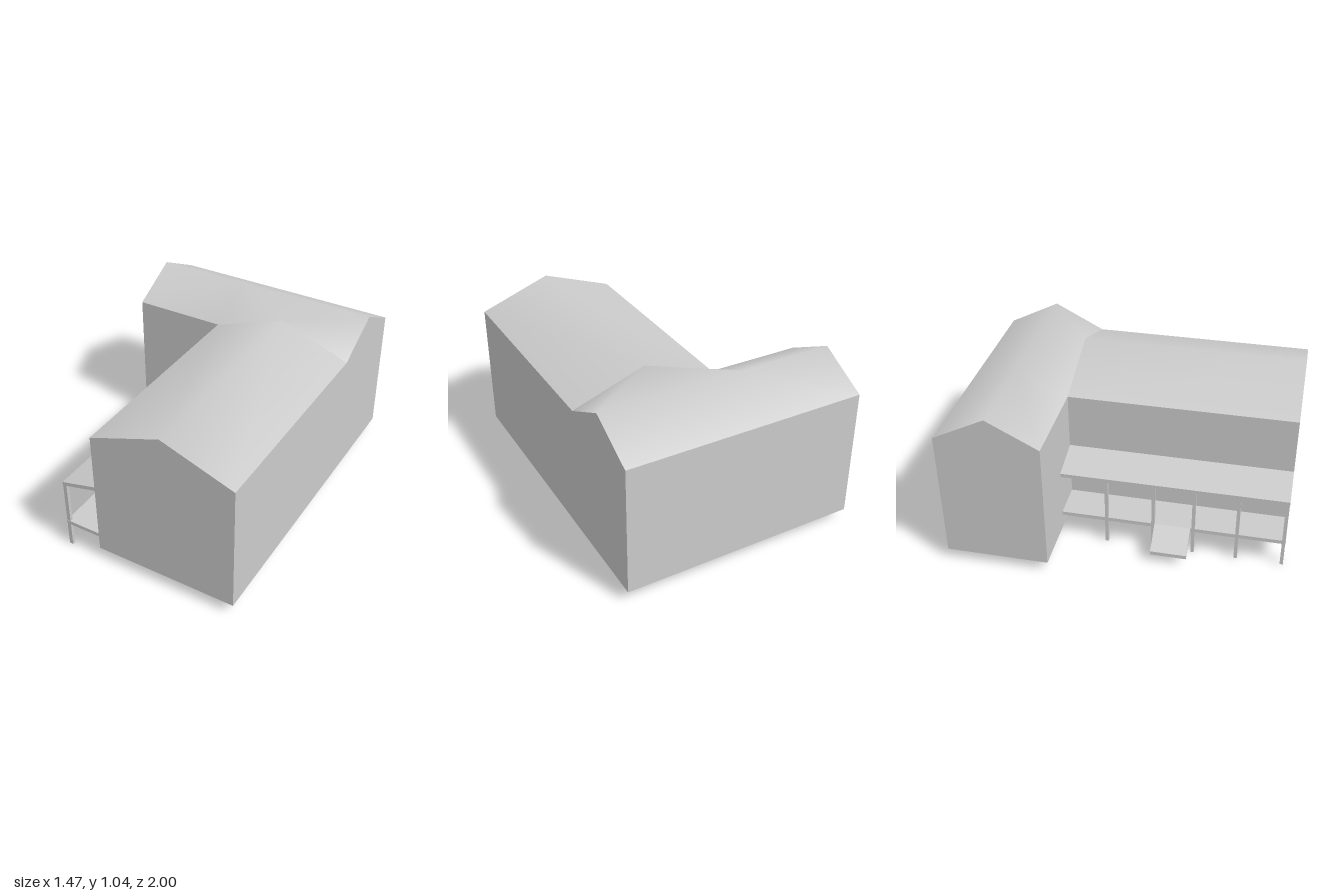
import * as THREE from 'three';

const W = 0.735;                  // outer half width
const IN = -0.155;                // left wall of the front wing
const MID = 0.29;                 // ridge of the front wing
const SPLIT = -0.375;             // where the wings meet
const RIDGE = -0.685;             // ridge of the rear wing
const BASE = 0.07, EAVE = 0.88, TOP = 1.04;

const material = new THREE.MeshStandardMaterial({ color: 0xcccccc, side: THREE.DoubleSide });

function addMesh(group, name, geometry) {
  const mesh = new THREE.Mesh(geometry, material);
  mesh.name = name;
  group.add(mesh);
  return mesh;
}

// Polygon faces as fans; points listed counter-clockwise from outside
function facesGeometry(points, faces, smooth) {
  const index = [];
  for (const f of faces)
    for (let i = 1; i < f.length - 1; i++) index.push(f[0], f[i], f[i + 1]);
  let geometry = new THREE.BufferGeometry();
  geometry.setAttribute('position', new THREE.Float32BufferAttribute(points.flat(), 3));
  geometry.setIndex(index);
  if (!smooth) geometry = geometry.toNonIndexed();
  geometry.computeVertexNormals();
  return geometry;
}

// One flat wall
function wall(group, name, points) {
  addMesh(group, name, facesGeometry(points, [points.map((_, i) => i)], false));
}

// Side profile in x and y pulled along z
function profile(group, name, points, z0, z1) {
  const shape = new THREE.Shape(points.map(([x, y]) => new THREE.Vector2(x, y)));
  const geometry = new THREE.ExtrudeGeometry(shape, { depth: z1 - z0, bevelEnabled: false });
  geometry.translate(0, 0, z0);
  addMesh(group, name, geometry);
}

function buildHouse() {
  const house = new THREE.Group();
  house.name = 'house';

  // Walls
  wall(house, 'frontGableWall',
    [[IN, BASE, 1], [W, BASE, 1], [W, EAVE, 1], [MID, TOP, 1], [IN, EAVE, 1]]);
  wall(house, 'porchWall',
    [[IN, BASE, SPLIT], [IN, BASE, 1], [IN, EAVE, 1], [IN, EAVE, SPLIT]]);
  wall(house, 'leftSideWall',
    [[W, BASE, 1], [W, BASE, -1], [W, EAVE, -1], [W, TOP, RIDGE], [W, EAVE, SPLIT], [W, EAVE, 1]]);
  wall(house, 'rearWingFrontWall',
    [[-W, BASE, SPLIT], [IN, BASE, SPLIT], [IN, EAVE, SPLIT], [-W, EAVE, SPLIT]]);
  wall(house, 'rearWingGableWall',
    [[-W, BASE, -1], [-W, BASE, SPLIT], [-W, EAVE, SPLIT], [-W, TOP, RIDGE], [-W, EAVE, -1]]);
  wall(house, 'backWall',
    [[W, BASE, -1], [-W, BASE, -1], [-W, EAVE, -1], [W, EAVE, -1]]);

  // Undersides
  wall(house, 'frontWingFloor',
    [[IN, BASE, SPLIT], [W, BASE, SPLIT], [W, BASE, 1], [IN, BASE, 1]]);
  wall(house, 'rearWingFloor',
    [[-W, BASE, -1], [W, BASE, -1], [W, BASE, SPLIT], [-W, BASE, SPLIT]]);

  // Front wing roof, softly shaded over the ridge
  addMesh(house, 'frontWingRoof', facesGeometry([
    [IN, EAVE, SPLIT], [IN, EAVE, 1], [MID, TOP, 1], [MID, TOP, SPLIT], [W, EAVE, 1], [W, EAVE, SPLIT],
  ], [[0, 1, 2, 3], [3, 2, 4, 5]], true));

  // Rear wing roof, with its front slope rising to the front wing's ridge
  addMesh(house, 'rearWingRoof', facesGeometry([
    [-W, EAVE, SPLIT], [IN, EAVE, SPLIT], [MID, TOP, SPLIT], [W, EAVE, SPLIT],
    [-W, TOP, RIDGE], [IN, TOP, RIDGE], [W, TOP, RIDGE],
    [-W, EAVE, -1], [W, EAVE, -1],
  ], [[0, 1, 5, 4], [1, 2, 5], [5, 2, 6], [2, 3, 6], [5, 6, 8, 7], [4, 5, 7]], true));
  return house;
}

function buildPorch() {
  const porch = new THREE.Group();
  porch.name = 'porch';
  const out = -0.383;
  profile(porch, 'porchRoof', [[out, 0.45], [IN, 0.507], [IN, 0.532], [out, 0.474]], SPLIT, 1);
  profile(porch, 'porchDeck', [[out, 0.16], [IN, 0.16], [IN, 0.184], [out, 0.184]], SPLIT, 1);
  profile(porch, 'ramp', [[-0.52, 0.056], [out, 0.16], [out, 0.184], [-0.52, 0.08]], 0.205, 0.425);

  // Posts
  for (const z of [0.988, 0.708, 0.442, 0.195, -0.094]) {
    const post = addMesh(porch, 'porchPost', new THREE.BoxGeometry(0.024, 0.46, 0.02));
    post.position.set(out + 0.012, 0.23, z);
  }
  return porch;
}

export function createModel() {
  const model = new THREE.Group();
  model.name = 'farmhouse';
  model.add(buildHouse(), buildPorch());
  return model;
}
